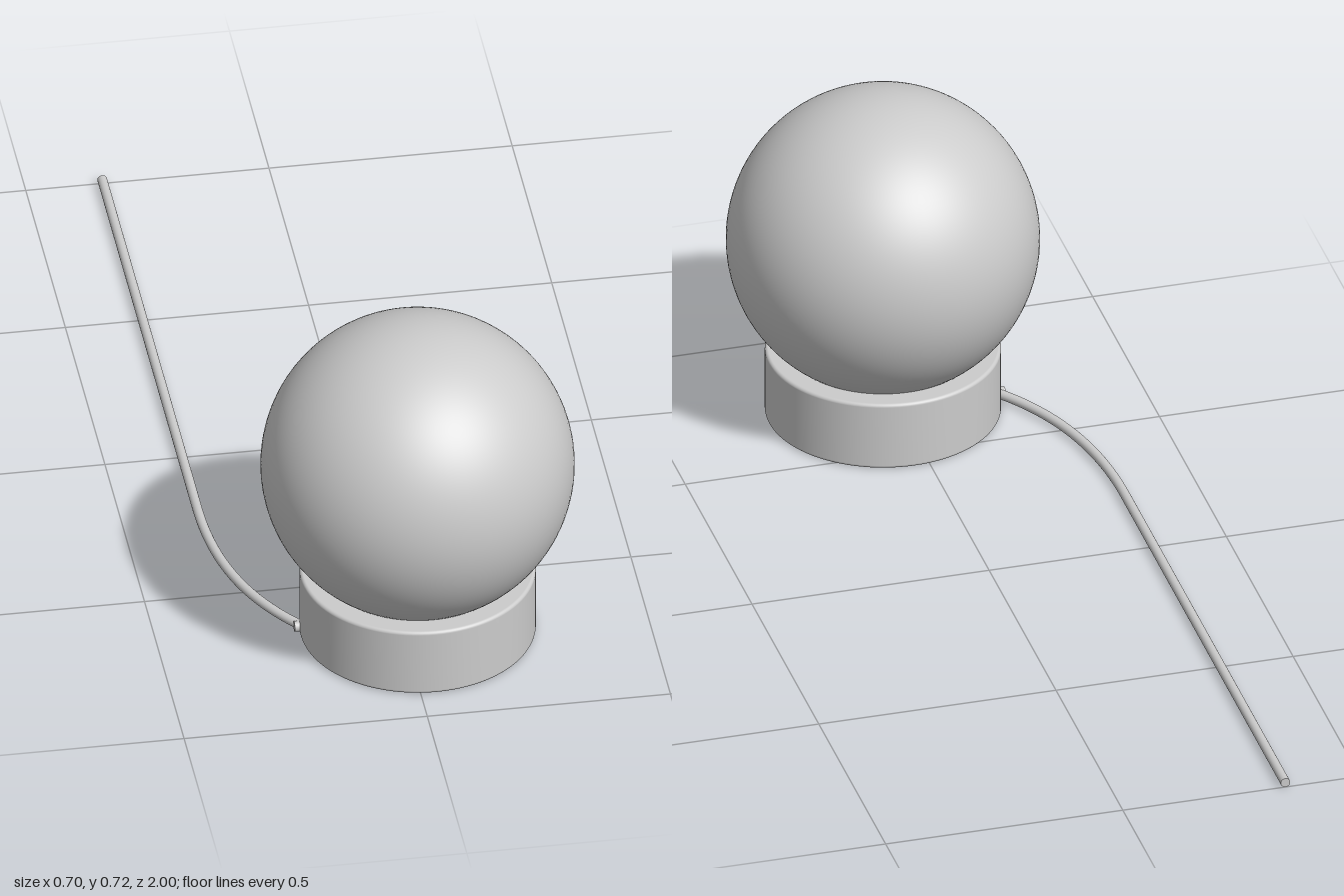
import * as THREE from 'three';

export function createModel() {
  const model = new THREE.Group();
  const material = new THREE.MeshStandardMaterial({ color: 0xcccccc });
  const cx = 0.032, cz = 0.681;

  const add = (name, geometry, x = 0, y = 0, z = 0) => {
    const mesh = new THREE.Mesh(geometry, material);
    mesh.name = name;
    mesh.position.set(x, y, z);
    model.add(mesh);
    return mesh;
  };

  // Round globe shade resting in the base
  add('globeShade', new THREE.SphereGeometry(0.319, 96, 64), cx, 0.404, cz);

  // Drum base with small rounded edges
  const r = 0.24, h = 0.152, y0 = 0.002, b = 0.007;
  const profile = [new THREE.Vector2(0, y0), new THREE.Vector2(r - b, y0)];
  const corner = (y, start) => {
    for (let i = 0; i <= 5; i++) {
      const a = start + (i / 5) * Math.PI / 2;
      profile.push(new THREE.Vector2(r - b + b * Math.cos(a), y + b * Math.sin(a)));
    }
  };
  corner(y0 + b, -Math.PI / 2);
  corner(h - b, 0);
  profile.push(new THREE.Vector2(0, h));
  add('base', new THREE.LatheGeometry(profile, 96), cx, 0, cz);

  // Cord: straight run along the floor, then a bend into the side of the base
  const v = (x, y, z) => new THREE.Vector3(x, y, z);
  const bendStart = v(-0.343, 0.012, 0.2);
  const cordPath = new THREE.CurvePath();
  cordPath.add(new THREE.LineCurve3(v(-0.343, 0.012, -1), bendStart));
  cordPath.add(new THREE.CubicBezierCurve3(
    bendStart, v(-0.343, 0.012, 0.42), v(-0.285, 0.015, 0.56), v(-0.2, 0.016, 0.66)));
  add('cord', new THREE.TubeGeometry(cordPath, 120, 0.01, 20));

  // Cut end of the cord
  add('cordEnd', new THREE.CircleGeometry(0.01, 20), -0.343, 0.012, -1).rotation.y = Math.PI;

  // Short collar where the cord enters the base
  const collar = add('cordCollar', new THREE.CylinderGeometry(0.011, 0.011, 0.03, 24), -0.203, 0.0165, 0.658);
  collar.rotation.z = Math.PI / 2;

  return model;
}
